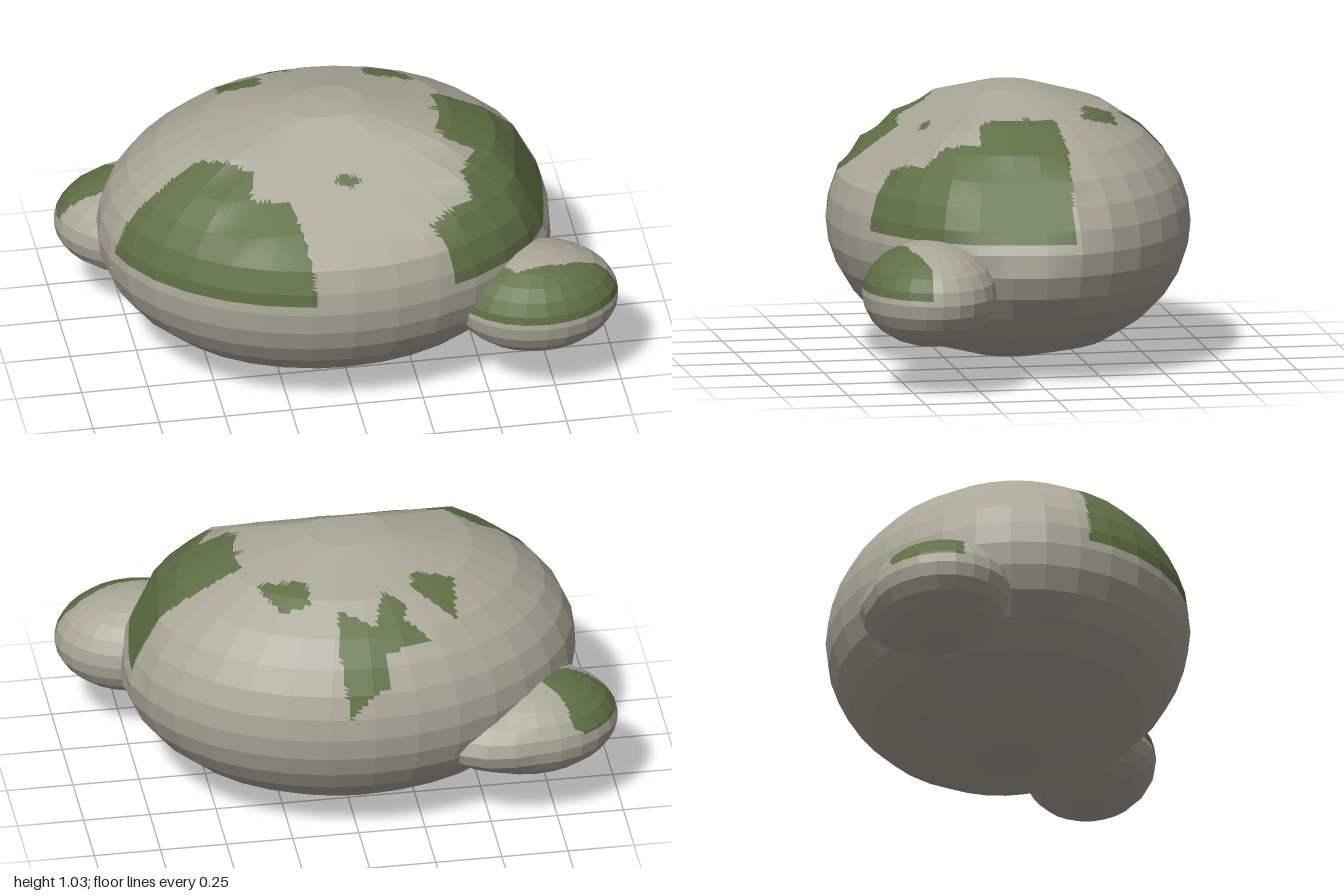
import * as THREE from 'three';

const ROCK = new THREE.MeshStandardMaterial({ color: 0xaaa698, flatShading: true });
const MOSS = new THREE.MeshStandardMaterial({ color: 0x5f6f45, flatShading: true });

// Is (x, z) inside a polygon given as [[x, z], ...]?
function inside(poly, x, z) {
  let hit = false;
  poly.forEach(([ax, az], i) => {
    const [bx, bz] = poly[(i + 1) % poly.length];
    if ((az > z) !== (bz > z) && x < ((bx - ax) * (z - az)) / (bz - az) + ax) hit = !hit;
  });
  return hit;
}

function meshFrom(positions, material, name) {
  const geometry = new THREE.BufferGeometry();
  geometry.setAttribute('position', new THREE.Float32BufferAttribute(positions, 3));
  geometry.computeVertexNormals();
  const mesh = new THREE.Mesh(geometry, material);
  mesh.name = name;
  return mesh;
}

// Faceted stone from rings of points; every facet is split finely and
// each small piece becomes stone or moss according to the patches above it.
function stone(name, levels, segs, split, point, patches) {
  const rock = [], moss = [];
  const rings = levels.map((t) => Array.from({ length: segs }, (_, i) => point(t, (i / segs) * Math.PI * 2)));
  const bottom = new THREE.Vector3(), top = new THREE.Vector3();
  const emit = (a, b, c) => {
    const x = (a.x + b.x + c.x) / 3, y = (a.y + b.y + c.y) / 3, z = (a.z + b.z + c.z) / 3;
    const mossy = patches.some((p) => y > p.minY && inside(p.poly, x, z));
    for (const v of [a, b, c]) (mossy ? moss : rock).push(v.x, v.y, v.z);
  };
  for (let j = 0; j < levels.length - 1; j++) {
    for (let i = 0; i < segs; i++) {
      const k = (i + 1) % segs;
      const at = (u, v) => {
        bottom.lerpVectors(rings[j][i], rings[j][k], u);
        top.lerpVectors(rings[j + 1][i], rings[j + 1][k], u);
        return new THREE.Vector3().lerpVectors(bottom, top, v);
      };
      for (let m = 0; m < split; m++) {
        for (let n = 0; n < split; n++) {
          const u0 = m / split, u1 = (m + 1) / split, v0 = n / split, v1 = (n + 1) / split;
          const a = at(u0, v0), b = at(u0, v1), c = at(u1, v1), d = at(u1, v0);
          if (j < levels.length - 2 || n < split - 1) emit(a, b, c);
          else emit(a, b, d); // last strip closes on the top point
          if ((j > 0 || n > 0) && (j < levels.length - 2 || n < split - 1)) emit(a, c, d);
        }
      }
    }
  }
  const group = new THREE.Group();
  group.name = name;
  group.add(meshFrom(rock, ROCK, name + 'Stone'), meshFrom(moss, MOSS, name + 'Moss'));
  return group;
}

// Boulder: squat ellipsoid with a sloping cut at the front and one on its left side
function boulderPoint(t, angle) {
  const r = Math.sqrt(Math.max(0, 1 - t * t));
  let dx = 0.86 * r * Math.cos(angle), dz = 0.675 * r * Math.sin(angle);
  let y = 0.515 + 0.515 * t;
  const cuts = [
    { x: 0, z: 0.62, limit: 1.08 - y },
    { x: 1, z: 0.15, limit: 1.1 - 0.5 * y },
  ];
  for (const cut of cuts) {
    const reach = cut.x * dx + cut.z * dz;
    if (reach > cut.limit) {
      dx *= cut.limit / reach;
      dz *= cut.limit / reach;
    }
  }
  if (t < -0.9) y = 0.008 + 0.05 * dx; // slightly tilted underside
  return new THREE.Vector3(dx - 0.035, y, dz);
}

// Side stone: ellipsoid that can run out to a blunt point in one direction
function sideStonePoint(center, radii, spike) {
  return (t, angle) => {
    const r = Math.sqrt(Math.max(0, 1 - t * t));
    const x = r * Math.cos(angle), z = r * Math.sin(angle);
    const along = spike ? x * spike[0] + z * spike[1] : 0;
    const stretch = 1 + Math.max(0, along - 0.7) * 0.7;
    return new THREE.Vector3(
      center[0] + radii[0] * x * stretch,
      center[1] + radii[1] * t,
      center[2] + radii[2] * z * stretch
    );
  };
}

export function createModel() {
  const model = new THREE.Group();
  model.name = 'mossyRocks';

  // Moss patches: outlines seen from above, with a lower limit
  const boulderMoss = [
    { minY: 0.55, poly: [[-1, 0.18], [-0.82, 0.17], [-0.68, 0.17], [-0.55, 0.14], [-0.35, 0.27], [-0.38, 0.36], [-0.23, 0.38], [-0.2, 0.52], [-0.17, 0.75], [-1, 0.75]] },
    { minY: 0.555, poly: [[0.38, -0.1], [0.55, -0.12], [0.9, -0.1], [0.9, 0.59], [0.36, 0.59], [0.28, 0.5], [0.45, 0.4], [0.43, 0.31], [0.5, 0.2], [0.37, 0.18]] },
    { minY: 0.55, poly: [[-0.1, -0.62], [0.06, -0.66], [0.08, -0.52], [0.06, -0.4], [-0.07, -0.47], [-0.11, -0.34], [-0.2, -0.39], [-0.18, -0.44], [-0.27, -0.5], [-0.1, -0.55]] },
    { minY: 0.55, poly: [[-0.38, -0.42], [-0.23, -0.33], [-0.24, -0.24], [-0.4, -0.26]] },
    { minY: 0.55, poly: [[0.16, -0.36], [0.27, -0.36], [0.35, -0.21], [0.16, -0.25]] },
    { minY: 0.55, poly: [[-0.02, 0.3], [0.06, 0.32], [0, 0.35], [-0.06, 0.32]] },
  ];
  const boulderLevels = [-1, -0.985];
  for (let i = -5; i <= 5; i++) boulderLevels.push(i / 6);
  boulderLevels.push(0.985, 1);
  model.add(stone('boulder', boulderLevels, 32, 7, boulderPoint, boulderMoss));

  const sideLevels = Array.from({ length: 13 }, (_, i) => -Math.cos((i / 12) * Math.PI));

  // Side stone at the front left
  const frontMoss = [
    { minY: 0.385, poly: [[0.35, 0.48], [0.52, 0.44], [0.6, 0.53], [0.78, 0.51], [0.92, 0.46], [1, 0.47], [1, 0.75], [0.35, 0.75]] },
  ];
  model.add(stone('frontSideStone', sideLevels, 24, 5,
    sideStonePoint([0.69, 0.367, 0.43], [0.31, 0.195, 0.25]), frontMoss));

  // Side stone at the back right
  const backMoss = [
    { minY: 0.4, poly: [[-1, -0.33], [-1, -0.58], [-0.8, -0.58], [-0.77, -0.5], [-0.68, -0.38], [-0.82, -0.3]] },
  ];
  model.add(stone('backSideStone', sideLevels, 24, 5,
    sideStonePoint([-0.66, 0.36, -0.36], [0.34, 0.19, 0.27], [0.75, -0.66]), backMoss));

  return model;
}
